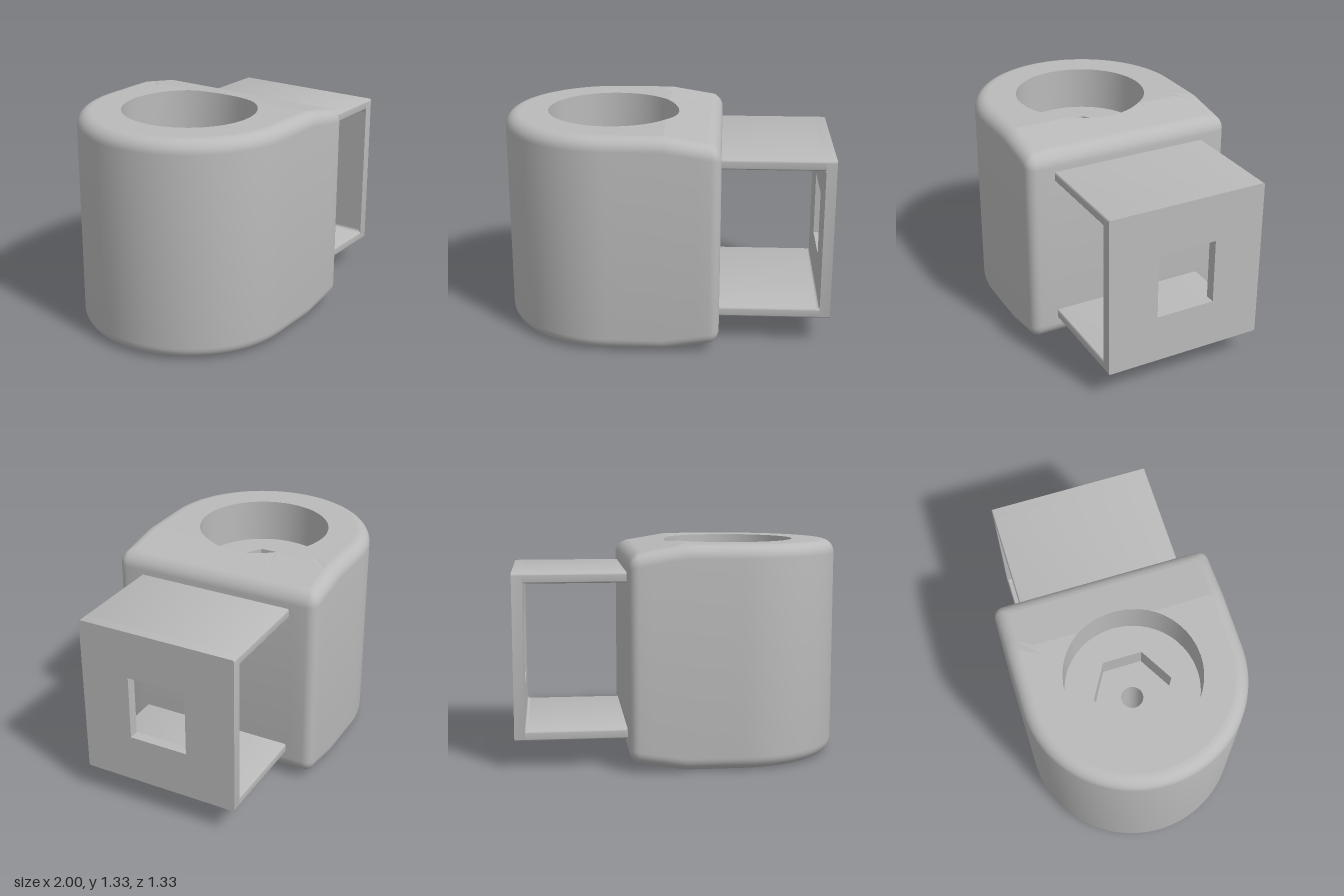
import * as THREE from 'three';
import { toCreasedNormals } from 'three/addons/utils/BufferGeometryUtils.js';

const CX = -0.335, R = 0.663, RIGHT = 0.332, H = 1.327;
const FILLET = 0.08, CORNER = 0.06, BORE = 0.403, BORE_FLOOR = 1.06;
const HEX = 0.24, HEX_FLOOR = 0.9, PIN = 0.067;

// D-shaped plan outline, inset by d, as [x, z] pairs
function outline(d) {
  const r = Math.max(CORNER - d, 0.003), h = R - d, e = RIGHT - d, half = [];
  for (const z of [0, 0.12, 0.24, 0.34, 0.44, 0.52]) half.push([e, z]);
  for (let i = 0; i <= 6; i++) {
    const a = (i / 6) * Math.PI / 2;
    half.push([e - r + r * Math.cos(a), h - r + r * Math.sin(a)]);
  }
  for (const x of [0.2, 0.13, 0.06, 0, -0.08, -0.16, -0.25]) half.push([x, h]);
  for (let i = 0; i <= 26; i++) {
    const a = Math.PI / 2 * (1 + i / 26);
    half.push([CX + h * Math.cos(a), h * Math.sin(a)]);
  }
  const back = half.slice(1, -1).reverse().map(([x, z]) => [x, -z]);
  return [...half, ...back];
}

// The underside rises and the top falls towards the right end
const lowY = x => 0.165 * Math.max(0, x);
const topY = x => H - lowY(x);

// Closed strip surface through a list of rings of [x, y, z]
function strip(rings, crease) {
  const n = rings[0].length, idx = [];
  for (let k = 0; k < rings.length - 1; k++) {
    for (let i = 0; i < n; i++) {
      const j = (i + 1) % n, a = k * n + i, b = k * n + j;
      idx.push(a, a + n, b, b, a + n, b + n);
    }
  }
  const g = new THREE.BufferGeometry();
  g.setAttribute('position', new THREE.Float32BufferAttribute(rings.flat(2), 3));
  g.setIndex(idx);
  return toCreasedNormals(g, crease);
}

// Rings of a cap: outer edge, bend line at x = 0, round hole edge
function capRings(radius, yAt) {
  const edge = outline(FILLET);
  const rim = edge.map(([x, z]) => {
    const a = Math.atan2(z, x - CX);
    return [CX + radius * Math.cos(a), radius * Math.sin(a)];
  });
  const mid = edge.map(([x, z], i) => {
    const [u, w] = rim[i];
    const t = x > 0 && u < 0 ? -u / (x - u) : 0.5;
    return [u + (x - u) * t, w + (z - w) * t];
  });
  return [edge, mid, rim].map(ring => ring.map(([x, z]) => [x, yAt(x), z]));
}

function roundedRect(w, h, r) {
  const s = new THREE.Shape(), x = w / 2, y = h / 2;
  s.absarc(x - r, y - r, r, 0, Math.PI / 2);
  s.absarc(-x + r, y - r, r, Math.PI / 2, Math.PI);
  s.absarc(-x + r, -y + r, r, Math.PI, Math.PI * 1.5);
  s.absarc(x - r, -y + r, r, Math.PI * 1.5, Math.PI * 2);
  return s;
}

function circlePath(r, sides, Type, start = 0) {
  const pts = [];
  for (let i = 0; i < sides; i++) {
    const a = start + i / sides * Math.PI * 2;
    pts.push(new THREE.Vector2(r * Math.cos(a), r * Math.sin(a)));
  }
  return new Type(pts);
}

export function createModel() {
  const model = new THREE.Group();
  model.name = 'clampHousing';
  const grey = new THREE.MeshStandardMaterial({ color: 0xbababa, side: THREE.DoubleSide });
  grey.name = 'grey';
  const add = (name, geometry, parent = model) => {
    const mesh = new THREE.Mesh(geometry, grey);
    mesh.name = name;
    parent.add(mesh);
    return mesh;
  };

  // Rounded body wall with filleted upper and lower edges
  const body = new THREE.Group();
  body.name = 'body';
  model.add(body);
  const low = [], high = [];
  for (let j = 0; j <= 8; j++) {
    const t = j / 8 * Math.PI / 2, up = FILLET * (1 - Math.cos(t));
    const ring = outline(FILLET * (1 - Math.sin(t)));
    low.push(ring.map(([x, z]) => [x, lowY(x) + up, z]));
    high.unshift(ring.map(([x, z]) => [x, topY(x) - up, z]));
  }
  add('bodyWall', strip([...low, ...high], 0.5), body);

  // Top and bottom faces
  const top = capRings(BORE, topY);
  add('bodyTop', strip(top, 0.08), body);
  add('bodyBottom', strip(capRings(PIN, lowY).reverse(), 0.08), body);

  // Round counterbore with its floor
  const rim = top[2];
  add('boreWall', strip([rim, rim.map(([x, , z]) => [x, BORE_FLOOR, z])], 0.5), body);
  const ringFloor = (outer, hole, y, name) => {
    outer.holes.push(hole);
    const g = new THREE.ShapeGeometry(outer);
    g.rotateX(-Math.PI / 2);
    g.translate(CX, y, 0);
    add(name, g, body);
  };
  ringFloor(circlePath(BORE, 64, THREE.Shape),
    circlePath(HEX, 6, THREE.Path, Math.PI / 6), BORE_FLOOR, 'boreFloor');

  // Hexagonal nut recess and the pin hole below it
  ringFloor(circlePath(HEX, 6, THREE.Shape, Math.PI / 6),
    circlePath(PIN, 32, THREE.Path), HEX_FLOOR, 'nutRecessFloor');
  const shaft = (name, r, y1, y0, sides) => {
    const g = new THREE.LatheGeometry([new THREE.Vector2(r, y1), new THREE.Vector2(r, y0)], sides);
    add(name, toCreasedNormals(g, 0.5), body).position.x = CX;
  };
  shaft('nutRecessWall', HEX, BORE_FLOOR, HEX_FLOOR, 6);
  shaft('pinHole', PIN, HEX_FLOOR, 0, 32);

  // Open bracket on the right end: two arms and a windowed end plate
  const bracket = new THREE.Group();
  bracket.name = 'bracket';
  model.add(bracket);
  const alongX = (name, shape, x0, x1, y) => {
    const g = new THREE.ExtrudeGeometry(shape, { depth: x1 - x0, bevelEnabled: false, curveSegments: 4 });
    g.rotateY(Math.PI / 2);
    g.translate(x0, y, 0);
    add(name, toCreasedNormals(g, 0.5), bracket);
  };
  const MID = 0.667, WALL = 0.06, HALF = 0.495, PLATE = 0.937;
  const plate = roundedRect(HALF * 2, HALF * 2, 0.012);
  const window = new THREE.Path();
  window.moveTo(-0.184, -0.2).lineTo(-0.184, 0.2).lineTo(0.184, 0.2).lineTo(0.184, -0.2).closePath();
  plate.holes.push(window);
  alongX('endPlate', plate, PLATE, 1, MID);
  for (const s of [1, -1]) {
    alongX(s > 0 ? 'upperArm' : 'lowerArm', roundedRect(HALF * 2, WALL, 0.012),
      0.3, PLATE, MID + s * (HALF - WALL / 2));

    // Small inside corner fillet
    const y = MID + s * (HALF - WALL), c = 0.018;
    const f = new THREE.Shape();
    f.moveTo(PLATE, y).lineTo(PLATE - c, y).quadraticCurveTo(PLATE, y, PLATE, y - s * c);
    const g = new THREE.ExtrudeGeometry(f, { depth: HALF * 2 - 0.02, bevelEnabled: false, curveSegments: 4 });
    g.translate(0, 0, -HALF + 0.01);
    add('cornerFillet', g, bracket);
  }
  return model;
}
